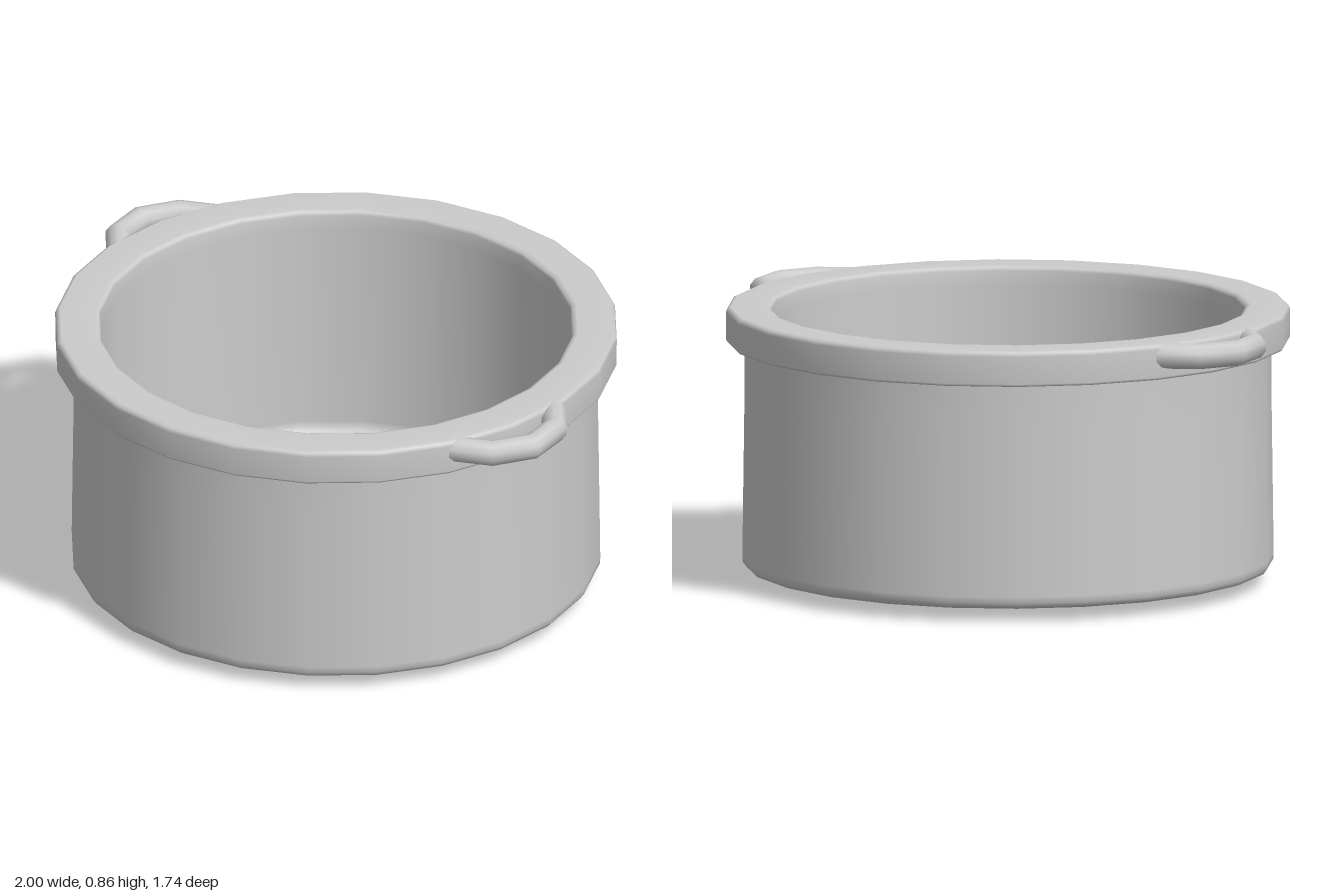
import * as THREE from 'three';

const SIDES = 24;

export function createModel() {
  const group = new THREE.Group();
  const material = new THREE.MeshStandardMaterial({ color: 0xcccccc });

  const add = (name, geometry) => {
    const mesh = new THREE.Mesh(geometry, material);
    mesh.name = name;
    group.add(mesh);
  };
  const lathe = (points) =>
    new THREE.LatheGeometry(points.map(([r, y]) => new THREE.Vector2(r, y)), SIDES);

  // Outer shell: shallow conical base, rounded bottom edge, slight taper
  add('outerWall', lathe([
    [0, 0], [0.76, 0.037], [0.79, 0.04], [0.807, 0.046], [0.817, 0.06],
    [0.818, 0.08], [0.811, 0.6], [0.811, 0.745],
  ]));

  // Thick rim with softened corners
  add('rim', lathe([
    [0.805, 0.742], [0.85, 0.742], [0.862, 0.744], [0.868, 0.752], [0.869, 0.838],
    [0.865, 0.849], [0.854, 0.855], [0.748, 0.855], [0.735, 0.85], [0.73, 0.84],
    [0.729, 0.8],
  ]));

  // Inside wall and dished floor
  add('innerWall', lathe([
    [0.729, 0.8], [0.722, 0.13], [0.715, 0.1], [0.69, 0.088], [0, 0.05],
  ]));

  // Angular loop handles on both sides
  for (const [name, side] of [['leftHandle', 1], ['rightHandle', -1]]) {
    const path = new THREE.CatmullRomCurve3(
      [[0.815, 0.2], [0.922, 0.118], [0.96, 0], [0.922, -0.118], [0.815, -0.2]]
        .map(([x, z]) => new THREE.Vector3(side * x, 0.815, z)));
    add(name, new THREE.TubeGeometry(path, 4, 0.04, 10, false));
  }

  return group;
}
